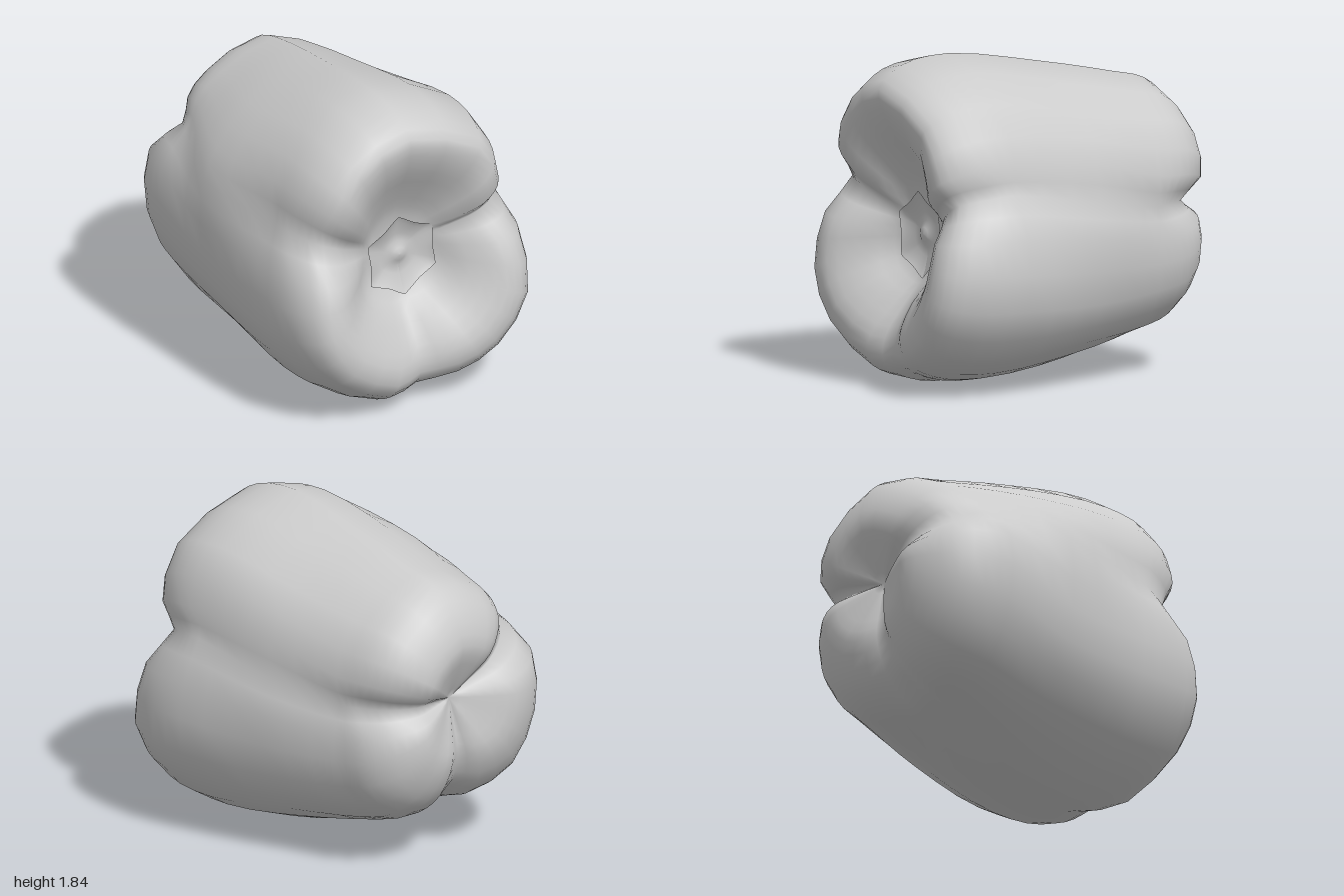
import * as THREE from 'three';
import { mergeVertices } from 'three/addons/utils/BufferGeometryUtils.js';

const { lerp } = THREE.MathUtils;

// Cross-sections [x, y], counter-clockwise: right valley, top lobe (5),
// left valley, left lobe (4), bottom valley, right lobe (4)
const FRONT = [[.66, 1.14], [.64, 1.3], [.48, 1.63], [-.08, 1.84], [-.48, 1.67], [-.67, 1.4],
  [-.7, 1.16], [-.78, .92], [-.78, .55], [-.6, .22], [-.2, .01], [.04, .02],
  [.3, .06], [.58, .19], [.8, .5], [.78, .9]];
const MIDDLE = [[.65, 1.05], [.62, 1.26], [.46, 1.53], [-.02, 1.76], [-.48, 1.6], [-.7, 1.38],
  [-.78, 1.2], [-.81, .95], [-.77, .58], [-.58, .28], [-.25, .12], [-.02, .12],
  [.25, .12], [.5, .24], [.68, .48], [.72, .85]];
const BACK = [[.53, .97], [.56, 1.15], [.43, 1.45], [.03, 1.67], [-.35, 1.55], [-.53, 1.42],
  [-.62, 1.28], [-.78, 1.08], [-.78, .7], [-.6, .36], [-.3, .24], [-.13, .27],
  [.08, .21], [.36, .27], [.55, .5], [.58, .8]];

// How far each lobe or valley swells at the two ends
const FRONT_Z = [.78, .89, .92, .93, .92, .89, .78, .92, .99, .98, .94, .87, .94, .97, .97, .9];
const BACK_Z = [-.85, -.97, -.99, -.98, -.96, -.92, -.86, -.98, -1, -.98, -.93, -.86, -.92, -.95, -.97, -.95];
// How soon the front swells from the hollow: low values give a wide hollow
const FRONT_RISE = [.5, .55, .4, .35, .4, .55, .5, .55, .5, .6, .5, .5, .6, .6, .6, .55];

const FRONT_PIT = [.02, .84, .62];
const BACK_PIT = [-.04, .95, -.83];

// Lengthwise curve from the front hollow, along the side, to the back dimple
function rib(i) {
  const at = (pit, ring, f, z) => new THREE.Vector3(
    lerp(pit[0], ring[i][0], f), lerp(pit[1], ring[i][1], f), z);
  const front = (f, z) => at(FRONT_PIT, FRONT, f, z);
  const back = (f, z) => at(BACK_PIT, BACK, f, z);
  const zf = FRONT_Z[i], zb = BACK_Z[i], rise = FRONT_RISE[i];
  return new THREE.CatmullRomCurve3([
    front(0, .62), front(.25, .65), front(.45, lerp(.65, zf, rise)),
    front(.67, lerp(.65, zf, Math.min(1, rise + .45))),
    front(.84, zf - .02), front(.96, zf - .18), front(1, .45),
    at(BACK_PIT, MIDDLE, 1, -.1),
    back(1, -.55), back(.92, zb + .21), back(.75, zb + .07), back(.48, zb),
    back(.24, lerp(BACK_PIT[2], zb, .6)), back(0, BACK_PIT[2]),
  ], false, 'centripetal');
}

function bodyGeometry() {
  const rows = 39, cols = 32;
  const ribs = FRONT.map((_, i) => rib(i));
  const positions = [], indices = [];
  for (let v = 0; v <= rows; v++) {
    const ring = new THREE.CatmullRomCurve3(ribs.map(r => r.getPoint(v / rows)), true, 'catmullrom', .5);
    for (let u = 0; u < cols; u++) {
      positions.push(...ring.getPoint(u / cols).toArray());
      if (v === rows) continue;
      const a = v * cols + u, b = v * cols + (u + 1) % cols;
      if (v > 0) indices.push(a, a + cols, b);
      if (v < rows - 1) indices.push(b, a + cols, b + cols);
    }
  }
  const geometry = new THREE.BufferGeometry();
  geometry.setAttribute('position', new THREE.Float32BufferAttribute(positions, 3));
  geometry.setIndex(indices);
  const welded = mergeVertices(geometry, 1e-5);
  welded.computeVertexNormals();
  return welded;
}

// Shallow six-pointed cap with a soft knob, lying in the front hollow
function calyxGeometry() {
  const profile = [[0, .04], [.04, .035], [.075, .015], [.12, .02], [.18, .04], [.21, .06]]
    .map(([r, h]) => new THREE.Vector2(r, h));
  const geometry = new THREE.LatheGeometry(profile, 48);
  geometry.rotateX(Math.PI / 2);
  const p = geometry.attributes.position;
  for (let i = 0; i < p.count; i++) {
    const x = p.getX(i), y = p.getY(i), r = Math.hypot(x, y);
    const wave = Math.abs(Math.cos(3 * (Math.atan2(y, x) - Math.PI / 2)));
    const k = 1 + (r / .21) ** 2 * (.2 * (1 - Math.sqrt(Math.max(0, 1 - wave * wave))) - .03);
    p.setXY(i, x * k, y * k);
  }
  geometry.computeVertexNormals();
  return geometry;
}

export function createModel() {
  const group = new THREE.Group();
  group.name = 'bellPepper';
  const material = new THREE.MeshStandardMaterial({ color: 0xcccccc, side: THREE.DoubleSide });

  const body = new THREE.Mesh(bodyGeometry(), material);
  body.name = 'lobedBody';

  const calyx = new THREE.Mesh(calyxGeometry(), material);
  calyx.name = 'calyx';
  calyx.position.set(.02, .85, .63);
  calyx.rotation.z = .09;

  group.add(body, calyx);
  return group;
}
